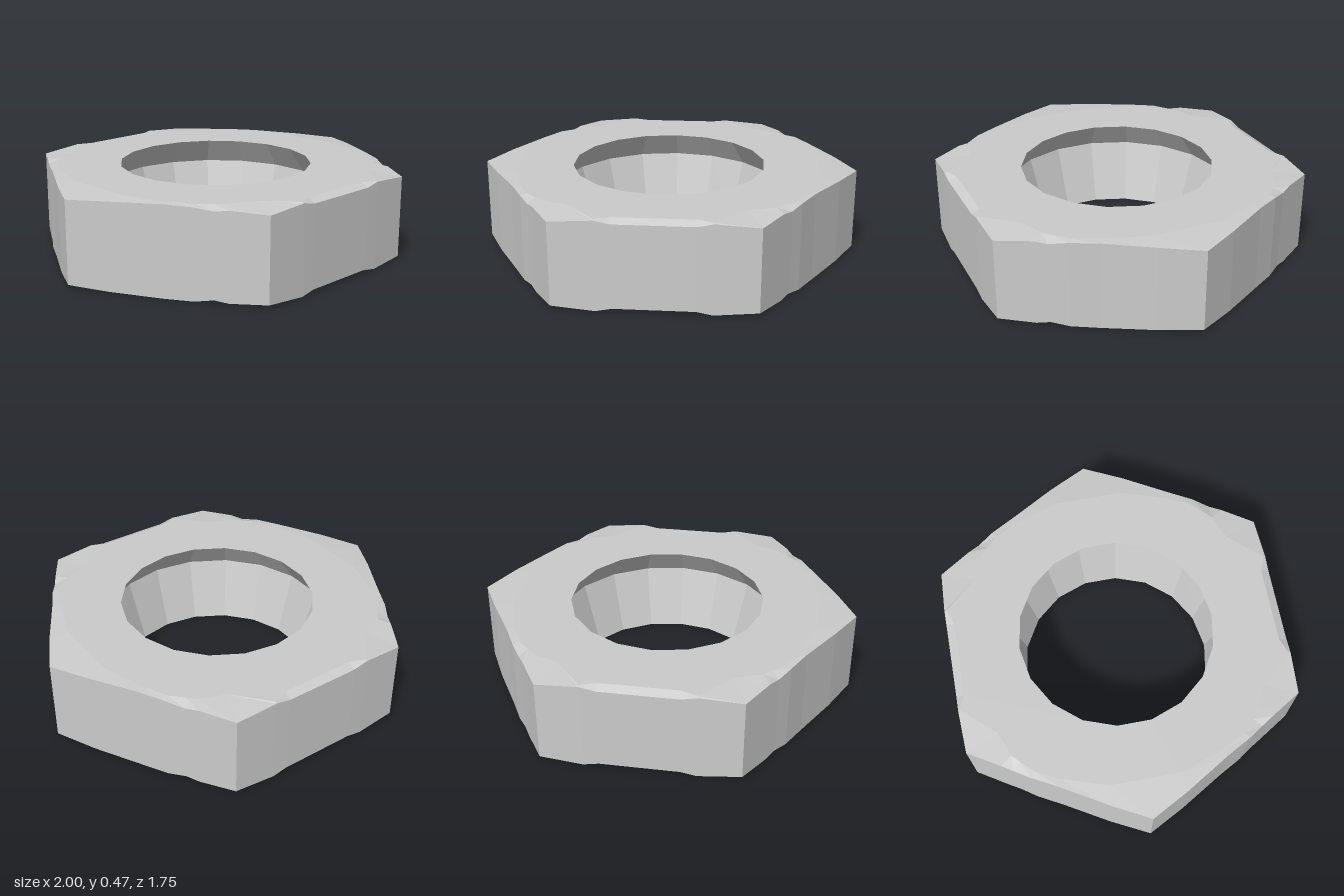
import * as THREE from 'three';

const H = 0.47;
const SEGMENTS = 18;
const material = new THREE.MeshStandardMaterial({ color: 0xcccccc, flatShading: true });

// One quarter of the rim: outer x, z, chamfer drop, then the inner x, z where the flat face ends
const quarter = [
  [1, 0, 0.02, 0.8, 0],
  [0.896, 0.2, 0.01, 0.8, 0.18],
  [0.76, 0.43, 0.003, 0.72, 0.42],
  [0.69, 0.56, 0.006, 0.66, 0.54],
  [0.637, 0.64, 0.02, 0.6, 0.6],
  [0.6, 0.7, 0.01, 0.56, 0.64],
  [0.5, 0.863, 0.02, 0.43, 0.69],
  [0.28, 0.872, 0.004, 0.28, 0.86],
  [0.2, 0.873, 0.02, 0.2, 0.83],
];

// Mirror the quarter into the full closed outline
function fullOutline() {
  const flip = (list, sx, sz) => list.map(([x, z, d, u, v]) => [x * sx, z * sz, d, u * sx, v * sz]);
  const back = quarter.slice().reverse();
  return [
    ...quarter,
    ...flip(back, -1, 1),
    ...flip(quarter.slice(1), -1, -1),
    ...flip(back.slice(0, -1), 1, -1),
  ];
}

// Skin a stack of closed rings, listed from top to bottom
function loft(rings) {
  const n = rings[0].length;
  const index = [];
  for (let k = 0; k < rings.length - 1; k++) {
    for (let i = 0; i < n; i++) {
      const a = k * n + i;
      const b = k * n + ((i + 1) % n);
      index.push(a, b, a + n, b, b + n, a + n);
    }
  }
  const geometry = new THREE.BufferGeometry();
  geometry.setAttribute('position', new THREE.Float32BufferAttribute(rings.flat(2), 3));
  geometry.setIndex(index);
  geometry.computeVertexNormals();
  return geometry;
}

export function createModel() {
  const group = new THREE.Group();
  group.name = 'hexNut';
  const add = (name, geometry) => {
    const mesh = new THREE.Mesh(geometry, material);
    mesh.name = name;
    group.add(mesh);
    return mesh;
  };

  // Six sides with worn chamfers above and below
  const outline = fullOutline();
  add('hexSides', loft([
    outline.map(([, , , u, v]) => [u, H, v]),
    outline.map(([x, z, d]) => [x, H - d, z]),
    outline.map(([x, z, d]) => [x, d, z]),
    outline.map(([, , , u, v]) => [u, 0, v]),
  ]));

  // Flat faces pierced by the bore
  const bore = 0.513;
  const face = new THREE.Shape(outline.map(([, , , u, v]) => new THREE.Vector2(u, v)));
  const rim = [];
  for (let i = 0; i < SEGMENTS; i++) {
    const a = (i / SEGMENTS) * Math.PI * 2;
    rim.push(new THREE.Vector2(bore * Math.sin(a), bore * Math.cos(a)));
  }
  face.holes.push(new THREE.Path(rim));
  const faceGeometry = new THREE.ShapeGeometry(face);
  add('topFace', faceGeometry.clone().rotateX(-Math.PI / 2).translate(0, H, 0));
  add('bottomFace', faceGeometry.clone().rotateX(Math.PI / 2));

  // Bore wall, hollowed out to its widest above the middle
  const profile = [[bore, H], [0.61, 0.33], [bore, 0]].map(([r, y]) => new THREE.Vector2(r, y));
  add('bore', new THREE.LatheGeometry(profile, SEGMENTS));

  return group;
}
